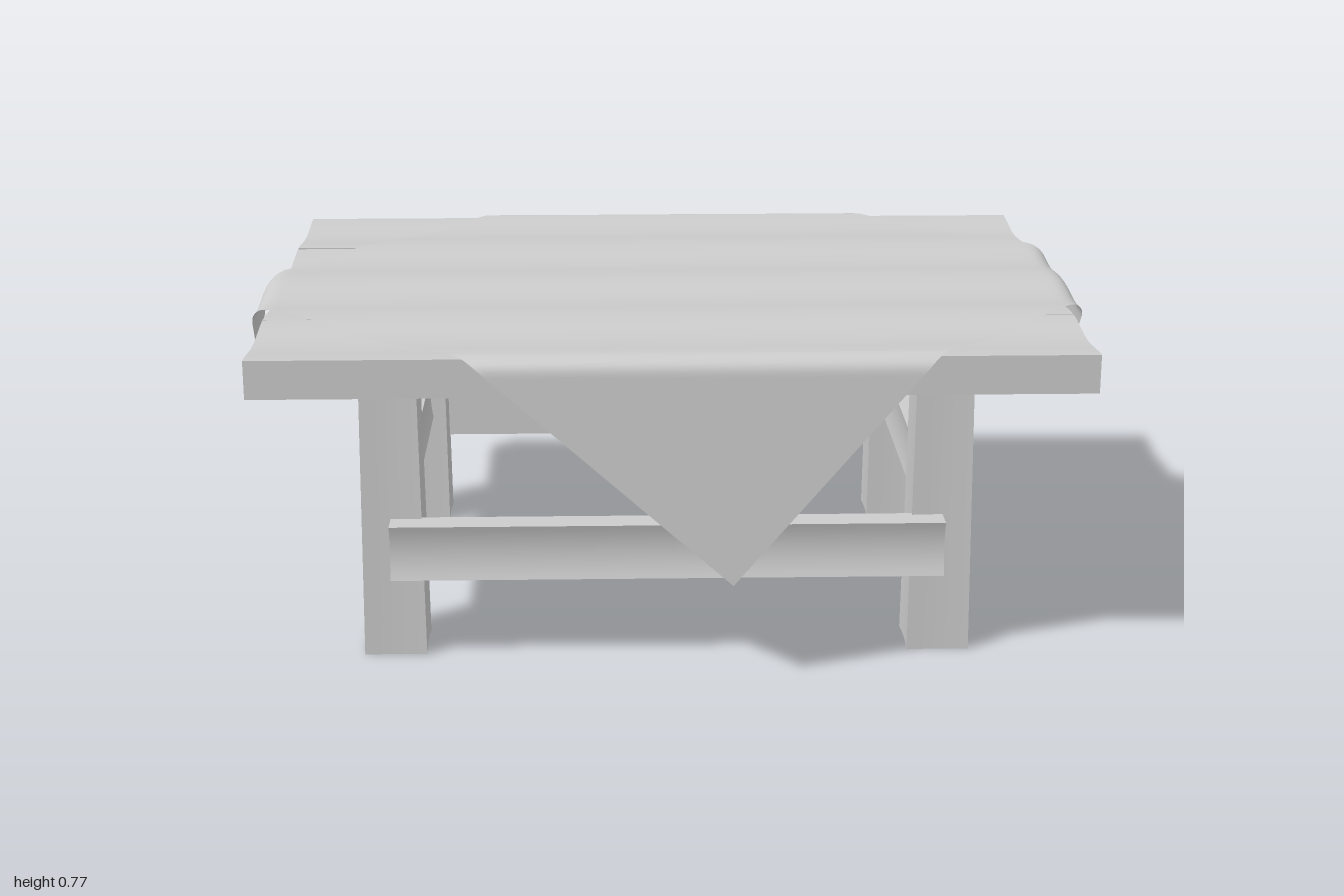
import * as THREE from 'three';

const material = new THREE.MeshStandardMaterial({ color: 0xcccccc });
const clothMaterial = new THREE.MeshStandardMaterial({ color: 0xcccccc, side: THREE.DoubleSide });

// Move every vertex of a geometry by a rule, then refresh the normals
function deform(geometry, rule) {
  const p = geometry.attributes.position;
  const v = new THREE.Vector3();
  for (let i = 0; i < p.count; i++) {
    v.fromBufferAttribute(p, i);
    rule(v);
    p.setXYZ(i, v.x, v.y, v.z);
  }
  geometry.computeVertexNormals();
  return geometry;
}

// Box given by its limits, with a bending rule in local coordinates
function beam(name, [x0, x1], [y0, y1], [z0, z1], segments, rule) {
  const geometry = new THREE.BoxGeometry(x1 - x0, y1 - y0, z1 - z0, ...segments);
  const mesh = new THREE.Mesh(deform(geometry, rule), material);
  mesh.name = name;
  mesh.position.set((x0 + x1) / 2, (y0 + y1) / 2, (z0 + z1) / 2);
  return mesh;
}

// Worn hollows run along the planks, with ridges every 0.35
const wave = (z) => Math.cos((2 * Math.PI * z) / 0.35);

// Distance along the cloth -> [distance outwards, drop] over a rounded table edge
function drape(s, edge, r) {
  const a = Math.abs(s), arc = (r * Math.PI) / 2;
  if (a <= edge) return [s, 0];
  if (a <= edge + arc) {
    const t = (a - edge) / r;
    return [Math.sign(s) * (edge + r * Math.sin(t)), r * (1 - Math.cos(t))];
  }
  const rest = a - edge - arc;
  return [Math.sign(s) * (edge + r + 0.045 * rest), r + rest];
}

// Square cloth laid cornerwise, its four corners hanging down
function createCloth() {
  const front = [0.13, 1.23], back = [-0.04, -1.19];
  const right = [1.246, -0.065], left = [-1.15, 0.1];
  const geometry = new THREE.PlaneGeometry(1, 1, 120, 120);
  deform(geometry, (v) => {
    const a = v.x + 0.5, b = 0.5 - v.y;
    const at = (i) =>
      (1 - b) * ((1 - a) * back[i] + a * right[i]) + b * ((1 - a) * left[i] + a * front[i]);
    const [x, dropX] = drape(at(0), 0.945, 0.043);
    const [z, dropZ] = drape(at(1), 0.68, 0.042);
    const y = 0.768 + 0.006 * wave(Math.min(Math.abs(z), 0.7)) - dropX - dropZ;
    v.set(x, y, z);
  });
  const cloth = new THREE.Mesh(geometry, clothMaterial);
  cloth.name = 'tablecloth';
  return cloth;
}

export function createModel() {
  const model = new THREE.Group();
  model.name = 'table';

  // Table top: three planks with hollowed upper faces
  for (const [name, z0, z1] of [
    ['frontPlank', 0.352, 0.69], ['middlePlank', -0.345, 0.35], ['backPlank', -0.695, -0.357],
  ]) {
    const middle = (z0 + z1) / 2;
    model.add(beam(name, [-0.945, 0.94], [0.675, 0.764], [z0, z1], [1, 1, 24], (v) => {
      if (v.y > 0) v.y += 0.006 * (wave(v.z + middle) - 1);
    }));
  }

  // Legs: square posts, narrower upwards with slightly hollow sides
  for (const [x0, x1] of [[-0.72, -0.575], [0.55, 0.695]]) {
    for (const [z0, z1] of [[0.385, 0.53], [-0.525, -0.38]]) {
      model.add(beam('leg', [x0, x1], [0, 0.68], [z0, z1], [4, 8, 4], (v) => {
        const h = v.y / 0.68 + 0.5, half = 0.0725;
        const taper = 1 - 0.1 * h;
        const u = v.x / half, w = v.z / half;
        v.x = half * taper * u * (1 - 0.04 * (1 - w * w));
        v.z = half * taper * w * (1 - 0.04 * (1 - u * u));
      }));
    }
  }

  // Long rails on the outside of the legs, outer face hollow
  for (const [name, z0, z1, side] of [['frontRail', 0.515, 0.583, 1], ['backRail', -0.57, -0.51, -1]]) {
    model.add(beam(name, [-0.65, 0.625], [0.205, 0.335], [z0, z1], [1, 10, 1], (v) => {
      if (v.z * side > 0) v.z -= side * 0.012 * (1 - (v.y / 0.065) ** 2);
    }));
  }

  // Short rails between the legs, both faces slightly hollow
  for (const x of [-0.65, 0.625]) {
    model.add(beam('sideRail', [x - 0.038, x + 0.038], [0.295, 0.425], [-0.4, 0.4], [1, 10, 1], (v) => {
      v.x *= 1 - 0.16 * (1 - (v.y / 0.065) ** 2);
    }));
  }

  model.add(createCloth());
  return model;
}
